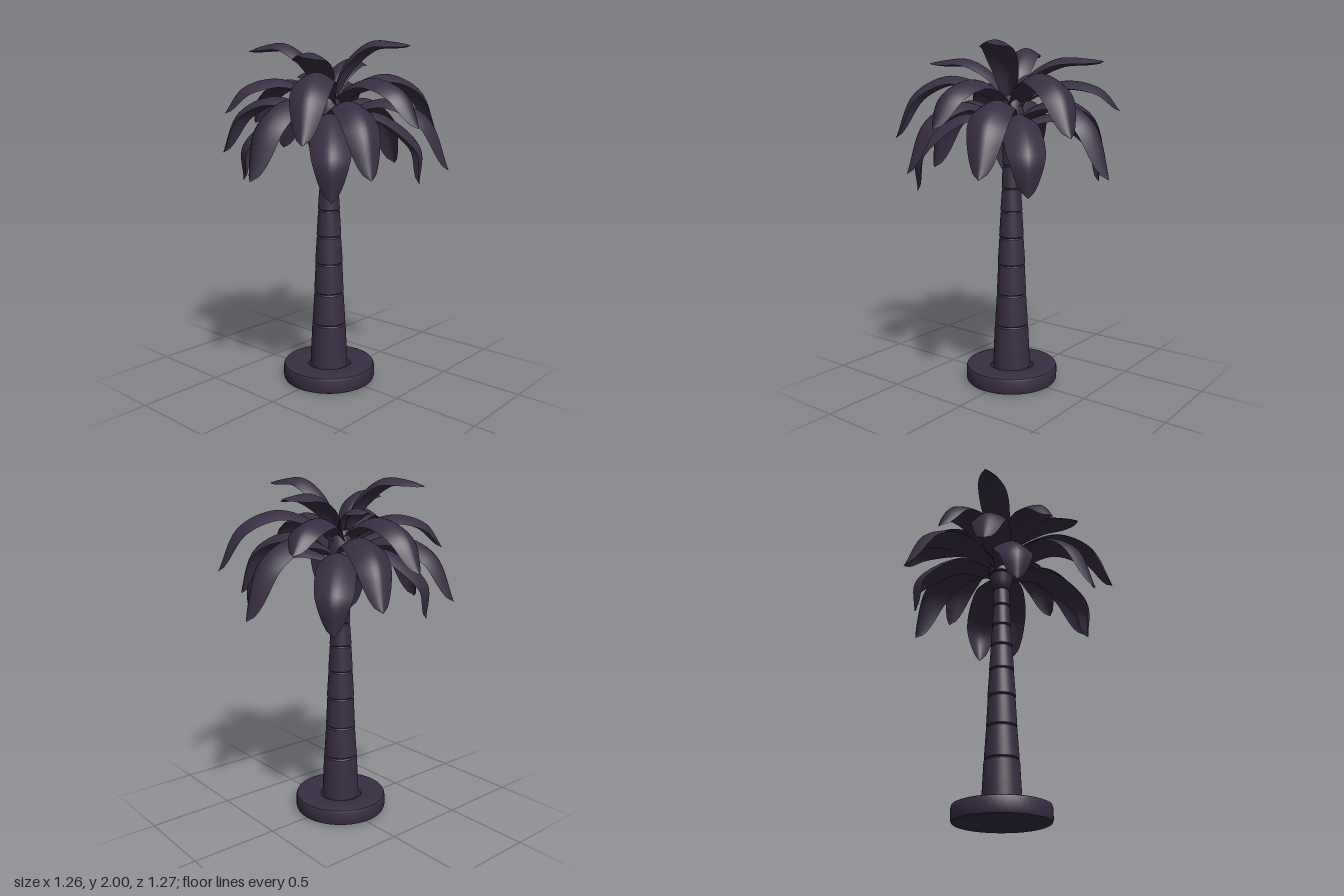
import * as THREE from 'three';
import { toCreasedNormals } from 'three/addons/utils/BufferGeometryUtils.js';

const CX = -0.018; // trunk axis

// Arched frond: a domed blade swept along a curve from the trunk to its tip
function frondGeometry([tx, tipY, tz, rootY, apexY, half, shoulder = 0.83]) {
  const dx = tx - CX, dz = tz;
  const at = (f, y) => new THREE.Vector3(CX + dx * f, y, dz * f);
  const curve = new THREE.CatmullRomCurve3([
    at(0.02, rootY),
    at(0.22, rootY + (apexY - rootY) * 0.65),
    at(0.52, apexY),
    at(shoulder, apexY - (apexY - tipY) * (shoulder > 0.9 ? 0.48 : 0.28)),
    at(1, tipY),
  ]);
  const len = Math.hypot(dx, dz);
  const side = new THREE.Vector3(dz / len, 0, -dx / len);
  const NU = 10, NT = 26, pos = [], idx = [];
  for (let i = 0; i <= NT; i++) {
    const t = i / NT;
    const p = curve.getPointAt(t);
    const up = new THREE.Vector3().crossVectors(curve.getTangentAt(t), side).normalize();
    const w = half * (t < 0.55
      ? 0.38 + 0.62 * Math.sin((t / 0.55) * Math.PI / 2)
      : Math.pow(Math.max(0, 1 - ((t - 0.55) / 0.45) ** 2), 0.6));
    for (let j = 0; j <= NU; j++) {
      const u = (j / NU) * 2 - 1;
      const q = p.clone().addScaledVector(side, u * w).addScaledVector(up, -0.5 * w * Math.abs(u) ** 1.6);
      pos.push(q.x, q.y, q.z);
      if (i < NT && j < NU) {
        const a = i * (NU + 1) + j, b = a + NU + 1;
        idx.push(a, b, a + 1, b, b + 1, a + 1);
      }
    }
  }
  const g = new THREE.BufferGeometry();
  g.setAttribute('position', new THREE.Float32BufferAttribute(pos, 3));
  g.setIndex(idx);
  g.computeVertexNormals();
  return g;
}

export function createModel() {
  const model = new THREE.Group();
  const mat = new THREE.MeshStandardMaterial({ color: 0x382e43, side: THREE.DoubleSide });
  mat.name = 'dark plum';

  const add = (name, geometry, parent = model) => {
    const m = new THREE.Mesh(geometry, mat);
    m.name = name;
    parent.add(m);
    return m;
  };
  const lathe = (pts) => toCreasedNormals(
    new THREE.LatheGeometry(pts.map(([r, y]) => new THREE.Vector2(r, y)), 40), 0.7);

  // Round base with a shallow hollow around the trunk
  add('base', lathe([[0, 0], [0.26, 0], [0.27, 0.005], [0.275, 0.018], [0.275, 0.08],
    [0.27, 0.095], [0.257, 0.1], [0.145, 0.1], [0.135, 0.096], [0.125, 0.083], [0, 0.083]])).position.x = CX;

  // Trunk: stacked tapering segments pinched at each ring
  const trunk = new THREE.Group();
  trunk.name = 'trunk';
  trunk.position.x = CX;
  model.add(trunk);
  const rings = [ // bottom y, top y, bottom radius, top radius
    [0.07, 0.345, 0.113, 0.101], [0.345, 0.535, 0.099, 0.088], [0.535, 0.715, 0.088, 0.08],
    [0.715, 0.88, 0.082, 0.072], [0.88, 1.035, 0.073, 0.064], [1.035, 1.17, 0.065, 0.056],
    [1.17, 1.305, 0.057, 0.052], [1.305, 1.42, 0.053, 0.05], [1.42, 1.525, 0.054, 0.074],
    [1.525, 1.71, 0.08, 0.06],
  ];
  for (const [y0, y1, r0, r1] of rings) {
    const c = 0.007;
    add('trunkSegment', lathe([[0, y0], [r0 - c, y0], [r0, y0 + c], [(r0 + r1) / 2, (y0 + y1) / 2],
      [r1, y1 - c], [r1 - c, y1], [0, y1]]), trunk);
  }

  // Fronds per tier: tip x, tip y, tip z, root y, apex y, half width, optional shoulder reach
  const tiers = {
    topFrond: [
      [0.15, 1.965, 0.44, 1.68, 1.99, 0.09], [-0.19, 1.95, -0.48, 1.68, 1.99, 0.09],
      [0.495, 1.89, -0.16, 1.68, 1.91, 0.09], [-0.475, 1.895, 0.19, 1.68, 1.915, 0.09],
    ],
    heartFrond: [[0, 1.81, -0.25, 1.69, 1.83, 0.08]],
    upperFrond: [
      [-0.04, 1.53, 0.635, 1.64, 1.79, 0.105], [0, 1.52, -0.64, 1.64, 1.79, 0.1],
      [-0.61, 1.46, 0.35, 1.64, 1.82, 0.105], [0.595, 1.49, 0.325, 1.64, 1.82, 0.105],
      [0.53, 1.62, -0.29, 1.64, 1.79, 0.1], [-0.52, 1.6, -0.32, 1.64, 1.79, 0.1],
    ],
    middleFrond: [
      [0.63, 1.26, 0, 1.55, 1.68, 0.115], [-0.635, 1.26, 0, 1.55, 1.68, 0.115],
      [0.26, 1.29, 0.635, 1.55, 1.68, 0.11], [-0.32, 1.28, 0.55, 1.55, 1.67, 0.105],
      [0.24, 1.35, -0.63, 1.55, 1.69, 0.105], [-0.28, 1.35, -0.63, 1.55, 1.69, 0.105],
    ],
    lowerFrond: [
      [0.37, 1.18, 0.37, 1.53, 1.6, 0.11, 1], [-0.42, 1.16, 0.37, 1.53, 1.6, 0.11, 1],
      [0.35, 1.2, -0.38, 1.53, 1.6, 0.11, 1], [-0.34, 1.21, -0.38, 1.53, 1.6, 0.11, 1],
    ],
  };
  const crown = new THREE.Group();
  crown.name = 'crown';
  model.add(crown);
  for (const [name, list] of Object.entries(tiers)) {
    for (const f of list) add(name, frondGeometry(f), crown);
  }
  return model;
}
